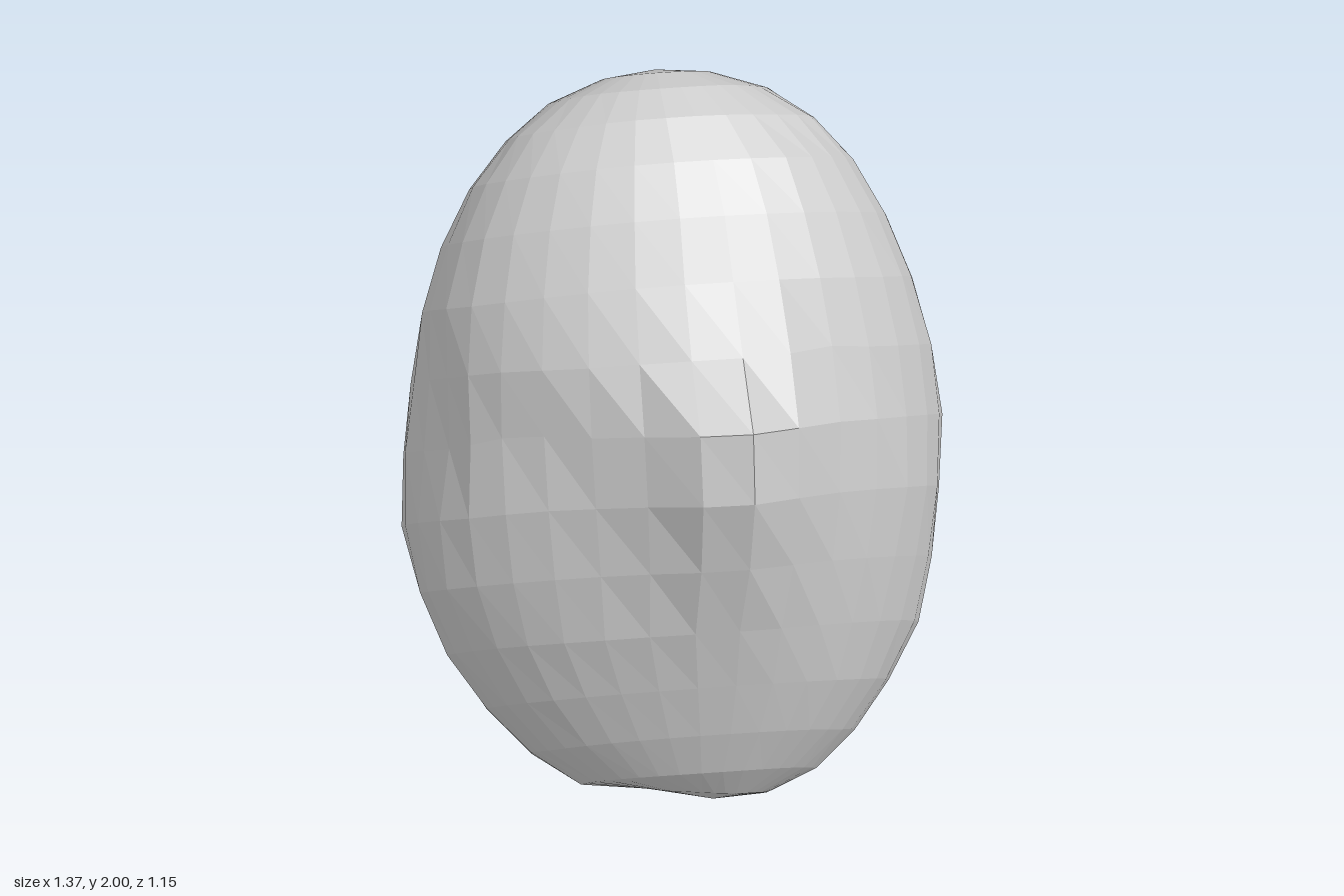
import * as THREE from 'three';

// Outline of the stone at 13 latitudes, bottom to top (every 15 degrees)
const LEFT = [0.15, -0.1, -0.36, -0.5, -0.62, -0.69, -0.685, -0.66, -0.595, -0.5, -0.37, -0.2, -0.02];
const RIGHT = [0.15, 0.27, 0.42, 0.53, 0.63, 0.665, 0.685, 0.655, 0.585, 0.485, 0.36, 0.17, -0.02];
const BACK = [0.05, -0.09, -0.22, -0.36, -0.46, -0.54, -0.57, -0.58, -0.555, -0.5, -0.42, -0.31, -0.2];
const FRONT = [0.05, 0.18, 0.3, 0.385, 0.43, 0.46, 0.455, 0.42, 0.345, 0.2, 0.06, -0.08, -0.2];
// Depth of the widest line
const WIDEST = [0.05, 0.05, 0.03, 0, -0.02, -0.05, -0.08, -0.1, -0.13, -0.16, -0.18, -0.2, -0.2];

// Local bumps and hollows: centre, radius, displacement
const DENTS = [
  { at: [-0.66, 1.2, 0.05], r: 0.16, move: [0.05, 0, 0] }, // side hollow
  { at: [-0.42, 1.25, 0.25], r: 0.14, move: [0.01, 0, -0.04] }, // hollow beside the nose
  { at: [0.33, 1.42, 0.25], r: 0.11, move: [0, 0, -0.03] }, // hollow on the other side
  { at: [-0.06, 0.06, 0.25], r: 0.12, move: [0, 0.03, -0.02] }, // pit at the lower pole
].map(({ at, r, move }) => ({ at: new THREE.Vector3(...at), r, move: new THREE.Vector3(...move) }));

function sample(table, t) {
  const i = Math.min(Math.floor(t), table.length - 2);
  return THREE.MathUtils.lerp(table[i], table[i + 1], t - i);
}

// Moves a point of the unit sphere onto the outline at its height
function shapePoint(p) {
  const y = THREE.MathUtils.clamp(p.y, -1, 1);
  const t = (Math.acos(-y) / Math.PI) * 12;
  const h = Math.hypot(p.x, p.z) || 1;
  const left = sample(LEFT, t), right = sample(RIGHT, t), mid = sample(WIDEST, t);
  const depth = p.z > 0 ? sample(FRONT, t) - mid : mid - sample(BACK, t);
  p.set(
    (left + right) / 2 + (p.x / h) * (right - left) / 2,
    1 + y,
    mid + (p.z / h) * depth
  );
}

// Pulls out the nose: abrupt at its top, fading slowly below
function addNose(p) {
  if (p.z < 0) return;
  const dy = (p.y - 1.28) / (p.y > 1.28 ? 0.17 : 0.38);
  const g = Math.exp(-(((p.x - 0.09) / 0.2) ** 2) - dy * dy);
  p.y += 0.1 * g;
  p.z += 0.175 * g;
}

export function createModel() {
  const group = new THREE.Group();
  group.name = 'stone';

  // Sphere with its poles leaning: top to the back, bottom to the front
  const geometry = new THREE.SphereGeometry(1, 32, 16);
  geometry.rotateX(-0.35);
  const pos = geometry.attributes.position;
  const p = new THREE.Vector3();
  for (let i = 0; i < pos.count; i++) {
    p.fromBufferAttribute(pos, i);
    shapePoint(p);
    addNose(p);
    for (const { at, r, move } of DENTS) {
      p.addScaledVector(move, Math.exp(-p.distanceToSquared(at) / (r * r)));
    }
    pos.setXYZ(i, p.x, p.y, p.z);
  }
  geometry.computeBoundingBox();
  geometry.translate(0, -geometry.boundingBox.min.y, 0);
  geometry.computeVertexNormals();

  const body = new THREE.Mesh(
    geometry,
    new THREE.MeshStandardMaterial({ color: 0xcccccc, flatShading: true })
  );
  body.name = 'stoneBody';
  group.add(body);
  return group;
}
